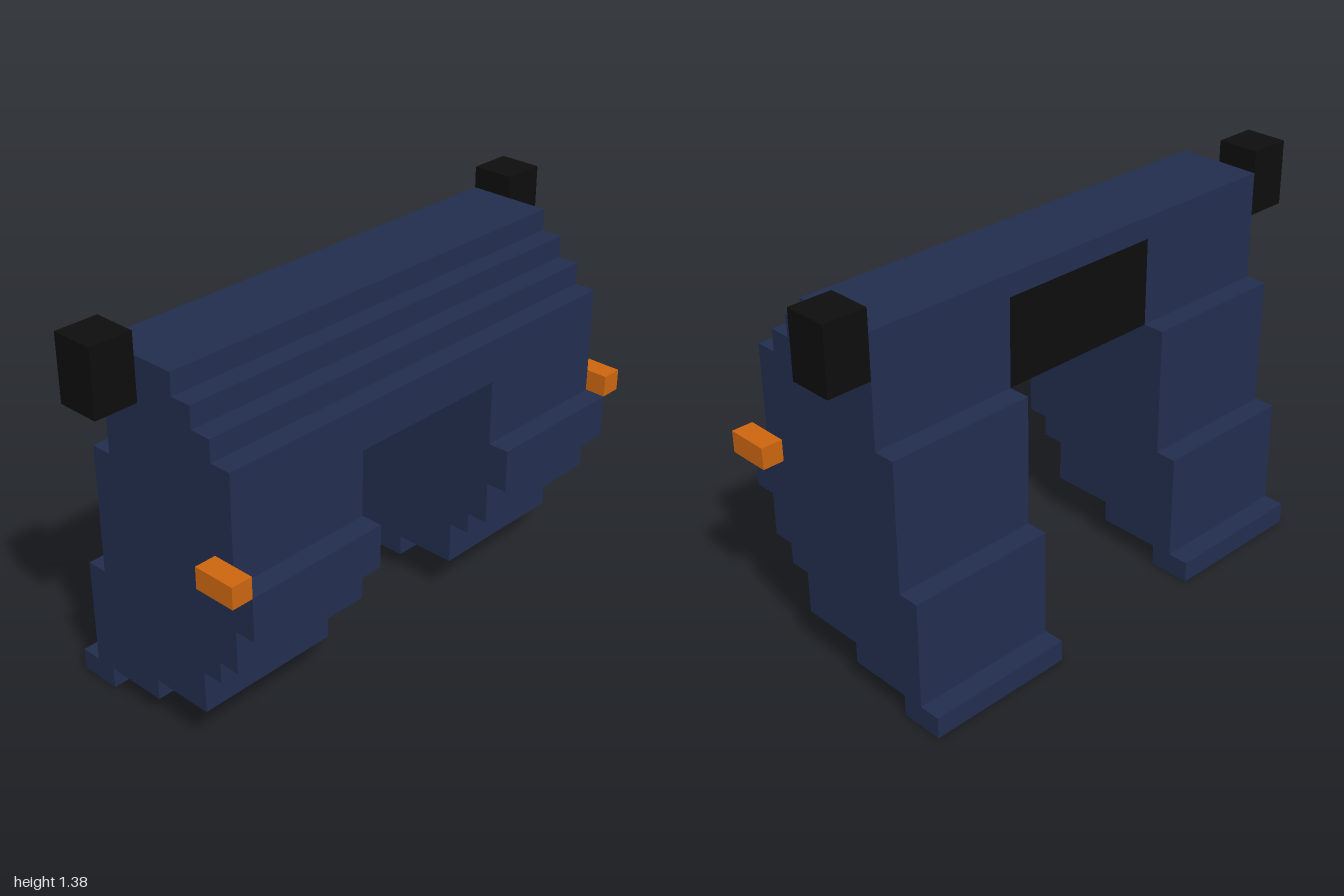
import * as THREE from 'three';

const U = 1 / 13; // one block of the stepped grid

const navy = new THREE.MeshStandardMaterial({ color: 0x222d4e });
navy.name = 'navy';
const black = new THREE.MeshStandardMaterial({ color: 0x0d0d0d });
black.name = 'black';
const orange = new THREE.MeshStandardMaterial({ color: 0xcc6610 });
orange.name = 'orange';

// Extrudes a profile given in blocks (x, y) between z0 and z1
function slab(name, points, z0, z1, material) {
  const shape = new THREE.Shape(points.map(([x, y]) => new THREE.Vector2(x * U, y * U)));
  const geometry = new THREE.ExtrudeGeometry(shape, { depth: (z1 - z0) * U, bevelEnabled: false });
  geometry.translate(0, 0, z0 * U);
  const mesh = new THREE.Mesh(geometry, material);
  mesh.name = name;
  return mesh;
}

// Box between two corners given in blocks
function block(name, [x0, y0, z0], [x1, y1, z1], material) {
  const mesh = new THREE.Mesh(
    new THREE.BoxGeometry((x1 - x0) * U, (y1 - y0) * U, (z1 - z0) * U), material);
  mesh.position.set((x0 + x1) / 2 * U, (y0 + y1) / 2 * U, (z0 + z1) / 2 * U);
  mesh.name = name;
  return mesh;
}

// Stepped crown shared by the side panels and the bridge
const crown = [
  [4.5, 14], [3.5, 14], [3.5, 15], [2.5, 15], [2.5, 16], [1.5, 16], [1.5, 17], [-2.5, 17],
];

const sideProfile = [
  [-5.5, 0], [-3.5, 0], [-3.5, 1], [-0.5, 1], [-0.5, 2], [2.5, 2], [2.5, 4], [3.5, 4],
  [3.5, 5], [4.5, 5], [4.5, 7], [5.5, 7], [5.5, 9], [4.5, 9],
  ...crown,
  [-2.5, 12], [-3.5, 12], [-3.5, 6], [-4.5, 6], [-4.5, 1], [-5.5, 1],
];

// Bridge with a notch for the dark inset
const bridgeProfile = [[-1.5, 12], [4.5, 12], ...crown, [-2.5, 16], [-1.5, 16]];

export function createModel() {
  const model = new THREE.Group();
  model.name = 'steppedArch';

  model.add(slab('bridge', bridgeProfile, -4, 4, navy));
  model.add(block('bridgeInset', [-2.5, 12, -4], [-1.5, 16, 4], black));

  // Side panels with their outer knobs and tabs
  for (const s of [1, -1]) {
    const side = s > 0 ? 'front' : 'back';
    const span = (a, b) => (s > 0 ? [a, b] : [-b, -a]);
    const [p0, p1] = span(4, 11);
    const [k0, k1] = span(11, 13);
    const [t0, t1] = span(11, 12);
    model.add(slab(side + 'Panel', sideProfile, p0, p1, navy));
    model.add(block(side + 'Knob', [-2.5, 15, k0], [-0.5, 18, k1], black));
    model.add(block(side + 'Tab', [3.5, 9, t0], [5.5, 10, t1], orange));
  }
  return model;
}
